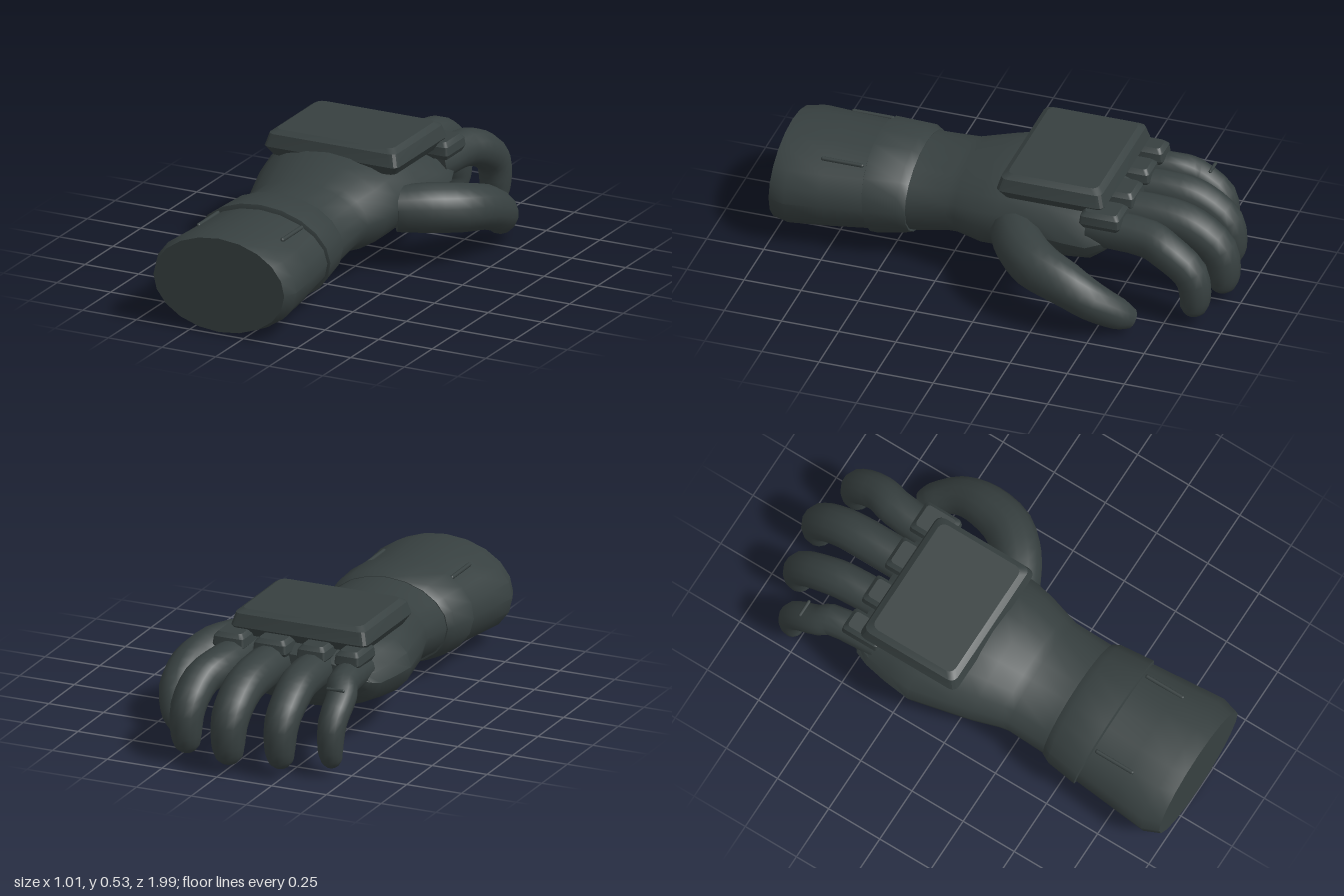
import * as THREE from 'three';
import { toCreasedNormals } from 'three/addons/utils/BufferGeometryUtils.js';

const V = (x, y, z) => new THREE.Vector3(x, y, z);

// Skin a list of equal-length rings and close both ends
function loft(rings, crease = 0.6) {
  const n = rings[0].length, pos = [], idx = [];
  rings.forEach(r => r.forEach(p => pos.push(p.x, p.y, p.z)));
  for (let i = 0; i < rings.length - 1; i++) {
    for (let j = 0; j < n; j++) {
      const a = i * n + j, b = i * n + (j + 1) % n;
      idx.push(a, b, b + n, a, b + n, a + n);
    }
  }
  const last = (rings.length - 1) * n;
  for (let j = 1; j < n - 1; j++) {
    idx.push(0, j + 1, j, last, last + j, last + j + 1);
  }
  const geo = new THREE.BufferGeometry();
  geo.setAttribute('position', new THREE.Float32BufferAttribute(pos, 3));
  geo.setIndex(idx);
  return toCreasedNormals(geo, crease);
}

// Elliptical sections along -z: [z, x0, x1, y0, y1, lean]
function sleeve(sections, sides = 20) {
  return loft(sections.map(([z, x0, x1, y0, y1, lean = 0]) =>
    Array.from({ length: sides }, (_, j) => {
      const a = j / sides * Math.PI * 2, s = -Math.sin(a);
      return V((x0 + x1) / 2 + (x1 - x0) / 2 * Math.cos(a),
        (y0 + y1) / 2 + (y1 - y0) / 2 * s, z + lean * (s - 1) / 2);
    })));
}

// Round limb along a path of [x, y, z, radius]
function limb(path, ref, sides = 14, steps = 14) {
  const curve = new THREE.CatmullRomCurve3(path.map(p => V(p[0], p[1], p[2])), false, 'centripetal');
  const rings = [];
  for (let i = 0; i <= steps; i++) {
    const u = i / steps * (path.length - 1), k = Math.min(Math.floor(u), path.length - 2);
    const radius = THREE.MathUtils.lerp(path[k][3], path[k + 1][3], u - k);
    const c = curve.getPoint(i / steps), t = curve.getTangent(i / steps);
    const n = ref.clone().addScaledVector(t, -ref.dot(t)).normalize();
    const b = t.clone().cross(n);
    rings.push(Array.from({ length: sides }, (_, j) => {
      const a = j / sides * Math.PI * 2;
      return c.clone().addScaledVector(n, radius * Math.cos(a)).addScaledVector(b, radius * Math.sin(a));
    }));
  }
  return loft(rings, 0.7);
}

// Bevelled pad with rounded corners; levels are [y, inset]
function pad(x0, x1, z0, z1, r, levels) {
  return loft(levels.map(([y, inset]) => {
    const ring = [];
    for (let q = 0; q < 4; q++) {
      const sx = q === 0 || q === 3 ? 1 : -1, sz = q < 2 ? -1 : 1;
      for (let k = 0; k <= 3; k++) {
        const a = (q + k / 3) * Math.PI / 2;
        const hx = (x1 - x0) / 2 - inset - r, hz = (z1 - z0) / 2 - inset - r;
        ring.push(V((x0 + x1) / 2 + sx * hx + r * Math.cos(a), y,
          (z0 + z1) / 2 + sz * hz - r * Math.sin(a)));
      }
    }
    return ring;
  }), 0.35);
}

export function createModel() {
  const model = new THREE.Group();
  const fabric = new THREE.MeshStandardMaterial({ color: 0x374040 });
  fabric.name = 'dark glove grey';
  const add = (name, geo) => {
    const mesh = new THREE.Mesh(geo, fabric);
    mesh.name = name;
    model.add(mesh);
    return mesh;
  };

  // Forearm gauntlet, wrist strap and hand
  add('forearm', sleeve([
    [1.0, -0.42, 0.19, 0.015, 0.425], [0.93, -0.45, 0.212, 0.005, 0.432],
    [0.78, -0.435, 0.198, 0.018, 0.43], [0.5, -0.41, 0.17, 0.05, 0.43],
  ]));
  add('wristStrap', sleeve([
    [0.62, -0.415, 0.175, 0.04, 0.435, 0.05], [0.615, -0.432, 0.192, 0.025, 0.45, 0.05],
    [0.45, -0.415, 0.175, 0.045, 0.45], [0.415, -0.395, 0.16, 0.055, 0.432],
  ]));
  add('hand', sleeve([
    [0.5, -0.39, 0.155, 0.06, 0.428], [0.4, -0.39, 0.155, 0.065, 0.43],
    [0.24, -0.39, 0.155, 0.1, 0.43], [0.2, -0.4, 0.165, 0.105, 0.44],
    [0.09, -0.435, 0.198, 0.085, 0.468], [0, -0.46, 0.212, 0.09, 0.485],
    [-0.18, -0.505, 0.222, 0.103, 0.485], [-0.3, -0.49, 0.235, 0.12, 0.465],
    [-0.4, -0.47, 0.24, 0.145, 0.44], [-0.46, -0.45, 0.22, 0.2, 0.42],
    [-0.5, -0.4, 0.18, 0.27, 0.395],
  ]));

  // Fingers: base x, tip x, reach in z, radius
  const fingers = [
    ['indexFinger', 0.14, 0.2, -0.945, 0.081],
    ['middleFinger', -0.02, -0.015, -0.995, 0.087],
    ['ringFinger', -0.215, -0.232, -0.955, 0.08],
    ['littleFinger', -0.375, -0.423, -0.87, 0.066],
  ];
  for (const [name, x0, x1, reach, r] of fingers) {
    const x = k => THREE.MathUtils.lerp(x0, x1, k);
    const d = reach + 0.075;
    add(name, limb([
      [x(0), 0.345, -0.4, r],
      [x(0.4), 0.345, (-0.4 + d) / 2 - 0.02, r],
      [x(0.85), 0.32, d + 0.13, r * 0.97],
      [x(1), 0.235, d + 0.02, r * 0.92],
      [x(1), 0.12, d, r * 0.8],
      [x(1), 0.075, d + 0.012, r * 0.68],
      [x(1), 0.053, d + 0.02, r * 0.45],
    ], V(1, 0, 0), 14, 18));
  }

  // Thumb curling forward and down
  add('thumb', limb([
    [0.16, 0.265, -0.06, 0.098], [0.27, 0.265, -0.13, 0.106], [0.365, 0.25, -0.23, 0.105],
    [0.41, 0.215, -0.37, 0.096], [0.413, 0.155, -0.49, 0.083],
    [0.365, 0.085, -0.595, 0.066], [0.335, 0.055, -0.635, 0.045],
  ], V(0, 1, 0), 14, 18));

  // Armour plate over the back of the hand
  add('backPlate', pad(-0.43, 0.195, -0.465, 0.008, 0.03,
    [[0.425, 0.025], [0.465, 0], [0.518, 0.015], [0.535, 0.04]]));

  // Knuckle guards
  for (const [x0, x1] of [[-0.435, -0.32], [-0.28, -0.148], [-0.102, 0.05], [0.09, 0.235]]) {
    add('knuckleGuard', pad(x0, x1, -0.548, -0.37, 0.015,
      [[0.385, 0.01], [0.405, 0], [0.44, 0.004], [0.458, 0.02]]));
  }

  // Raised seams on the gauntlet
  for (const x of [-0.313, 0.077]) {
    const seam = add('gauntletSeam', new THREE.CapsuleGeometry(0.009, 0.17, 3, 8));
    seam.rotation.x = Math.PI / 2;
    seam.position.set(x, 0.388, 0.715);
  }

  // Small stitched crease on the little finger
  const crease = add('fingerCrease', new THREE.CapsuleGeometry(0.007, 0.07, 3, 8));
  crease.rotation.z = Math.PI / 2;
  crease.position.set(-0.418, 0.365, -0.735);

  return model;
}
